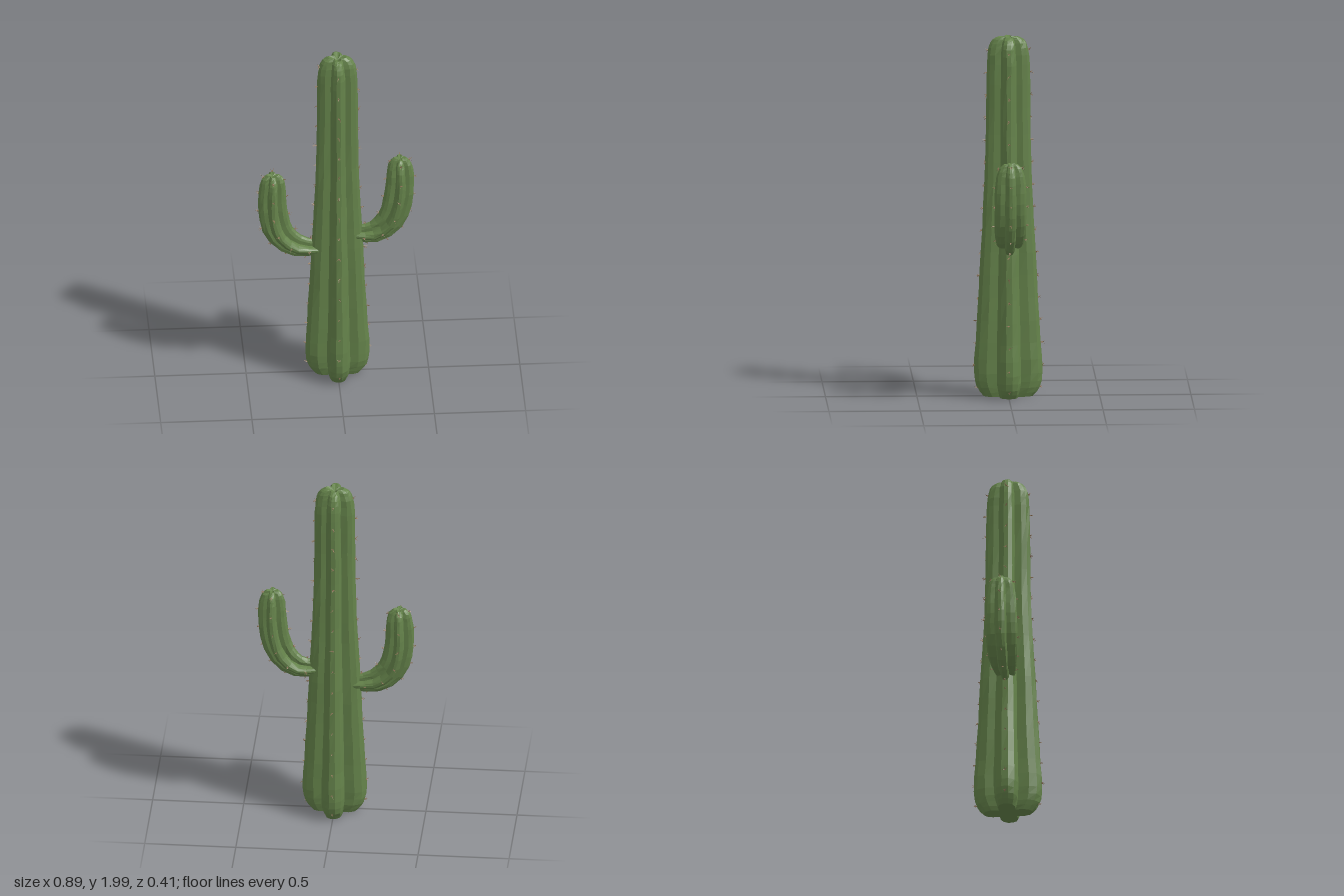
import * as THREE from 'three';
import { mergeGeometries } from 'three/addons/utils/BufferGeometryUtils.js';

// One rounded rib, from the valley before it to the valley after it
const RIB = [[0.34, 0.34], [0.65, 0.36], [0.88, 0.27], [1, 0.1], [1, -0.1], [0.88, -0.27], [0.65, -0.36]];

function makeRandom(seed) {
  return () => {
    seed = (seed * 16807) % 2147483647;
    return seed / 2147483647;
  };
}

// Four ribs around the stem, counter-clockwise
function crossSection() {
  const pts = [];
  for (let q = 0; q < 4; q++) {
    const c = Math.round(Math.cos(q * Math.PI / 2)), s = Math.round(Math.sin(q * Math.PI / 2));
    for (const [u, w] of RIB) pts.push([c * u + s * w, s * u - c * w]);
  }
  return pts;
}

// Smooth stations along a stem; each key is [x, y, radius]
function stationsOf(keys, perKey) {
  const curve = new THREE.CatmullRomCurve3(keys.map(k => new THREE.Vector3(...k)));
  const n = (keys.length - 1) * perKey;
  const pts = curve.getPoints(n);
  return pts.map((p, i) => {
    const a = pts[Math.max(i - 1, 0)], b = pts[Math.min(i + 1, n)];
    const t = new THREE.Vector3(b.x - a.x, b.y - a.y, 0).normalize();
    return { pos: new THREE.Vector3(p.x, p.y, 0), t, n: new THREE.Vector3(t.y, -t.x, 0), r: p.z };
  });
}

function pointOn(st, u, v, depth) {
  const p = st.pos.clone().addScaledVector(st.n, u * st.r);
  p.z -= v * st.r * depth;
  return p;
}

// Ribbed skin with closed ends and a slightly uneven surface
function stemGeometry(stations, depth, dimple, rnd) {
  const sec = crossSection(), m = sec.length, pos = [], idx = [];
  stations.forEach((st, i) => {
    const wobble = i === 0 ? 0 : 0.004;
    for (const [u, v] of sec) {
      const p = pointOn(st, u, v, depth);
      pos.push(p.x + (rnd() - 0.5) * wobble, p.y + (rnd() - 0.5) * wobble, p.z + (rnd() - 0.5) * wobble);
    }
  });
  const last = stations.length - 1;
  for (let i = 0; i < last; i++) {
    for (let j = 0; j < m; j++) {
      const a = i * m + j, b = i * m + (j + 1) % m;
      idx.push(a, b, b + m, a, b + m, a + m);
    }
  }
  const start = stations[0].pos, end = stations[last].pos.clone().addScaledVector(stations[last].t, -dimple);
  const s = pos.length / 3;
  pos.push(start.x, start.y, start.z, end.x, end.y, end.z);
  for (let j = 0; j < m; j++) {
    const k = (j + 1) % m;
    idx.push(s, k, j, s + 1, last * m + j, last * m + k);
  }
  const g = new THREE.BufferGeometry();
  g.setAttribute('position', new THREE.Float32BufferAttribute(pos, 3));
  g.setIndex(idx);
  g.computeVertexNormals();
  return g;
}

// Small clusters of spines along the crest of each rib
function spineGeometry(stations, depth, spacing, rnd) {
  const up = new THREE.Vector3(0, 1, 0), list = [];
  for (let q = 0; q < 4; q++) {
    const u = Math.round(Math.cos(q * Math.PI / 2)), v = Math.round(Math.sin(q * Math.PI / 2));
    let travelled = spacing * (0.35 + 0.3 * rnd());
    for (let i = 1; i < stations.length; i++) {
      const a = pointOn(stations[i - 1], u, v, depth), b = pointOn(stations[i], u, v, depth);
      const len = a.distanceTo(b);
      let at = travelled;
      for (; at < len; at += spacing) {
        const base = a.clone().lerp(b, at / len);
        const out = stations[i].n.clone().multiplyScalar(u);
        out.z -= v;
        for (let k = 0; k < 4; k++) {
          const dir = out.clone().add(new THREE.Vector3(rnd() - 0.5, rnd() - 0.5, rnd() - 0.5).multiplyScalar(1.7)).normalize();
          const h = 0.018 + 0.012 * rnd();
          const cone = new THREE.ConeGeometry(0.0032, h, 4);
          cone.translate(0, h / 2 - 0.005, 0);
          cone.applyQuaternion(new THREE.Quaternion().setFromUnitVectors(up, dir));
          cone.translate(base.x, base.y, base.z);
          list.push(cone);
        }
      }
      travelled = at - len;
    }
  }
  return mergeGeometries(list);
}

export function createModel() {
  const group = new THREE.Group();
  const green = new THREE.MeshStandardMaterial({ color: 0x64824a, flatShading: true });
  green.name = 'cactus green';
  const tan = new THREE.MeshStandardMaterial({ color: 0x94795c, flatShading: true });
  tan.name = 'spine tan';

  const stems = [
    { // upright trunk, flared at the foot and rounded at the top
      name: 'trunk', depth: 1.07, dimple: 0.02, spacing: 0.125, perKey: 2,
      keys: [[0, 0, 0.125], [0, 0.05, 0.16], [0, 0.13, 0.174], [0, 0.3, 0.166], [0, 0.55, 0.152], [0, 0.8, 0.141],
        [0, 1.05, 0.127], [0, 1.3, 0.117], [0, 1.6, 0.112], [0, 1.84, 0.109], [0, 1.93, 0.1], [0, 1.975, 0.078], [0, 1.99, 0.05]],
    },
    { // higher arm
      name: 'leftArm', depth: 1.1, dimple: 0.008, spacing: 0.11, perKey: 2,
      keys: [[0.1, 0.87, 0.045], [0.2, 0.872, 0.064], [0.288, 0.945, 0.076], [0.33, 1.06, 0.079],
        [0.343, 1.18, 0.077], [0.344, 1.27, 0.07], [0.343, 1.315, 0.056], [0.343, 1.338, 0.033]],
    },
    { // lower arm
      name: 'rightArm', depth: 1.1, dimple: 0.008, spacing: 0.11, perKey: 2,
      keys: [[-0.1, 0.785, 0.045], [-0.22, 0.802, 0.066], [-0.31, 0.875, 0.077], [-0.347, 0.98, 0.08],
        [-0.357, 1.09, 0.077], [-0.355, 1.185, 0.07], [-0.355, 1.23, 0.058], [-0.355, 1.254, 0.034]],
    },
  ];

  stems.forEach((s, i) => {
    const rnd = makeRandom(1234 + i * 777);
    const stations = stationsOf(s.keys, s.perKey);
    const skin = new THREE.Mesh(stemGeometry(stations, s.depth, s.dimple, rnd), green);
    skin.name = s.name;
    const spines = new THREE.Mesh(spineGeometry(stations, s.depth, s.spacing, rnd), tan);
    spines.name = s.name + 'Spines';
    group.add(skin, spines);
  });
  return group;
}
